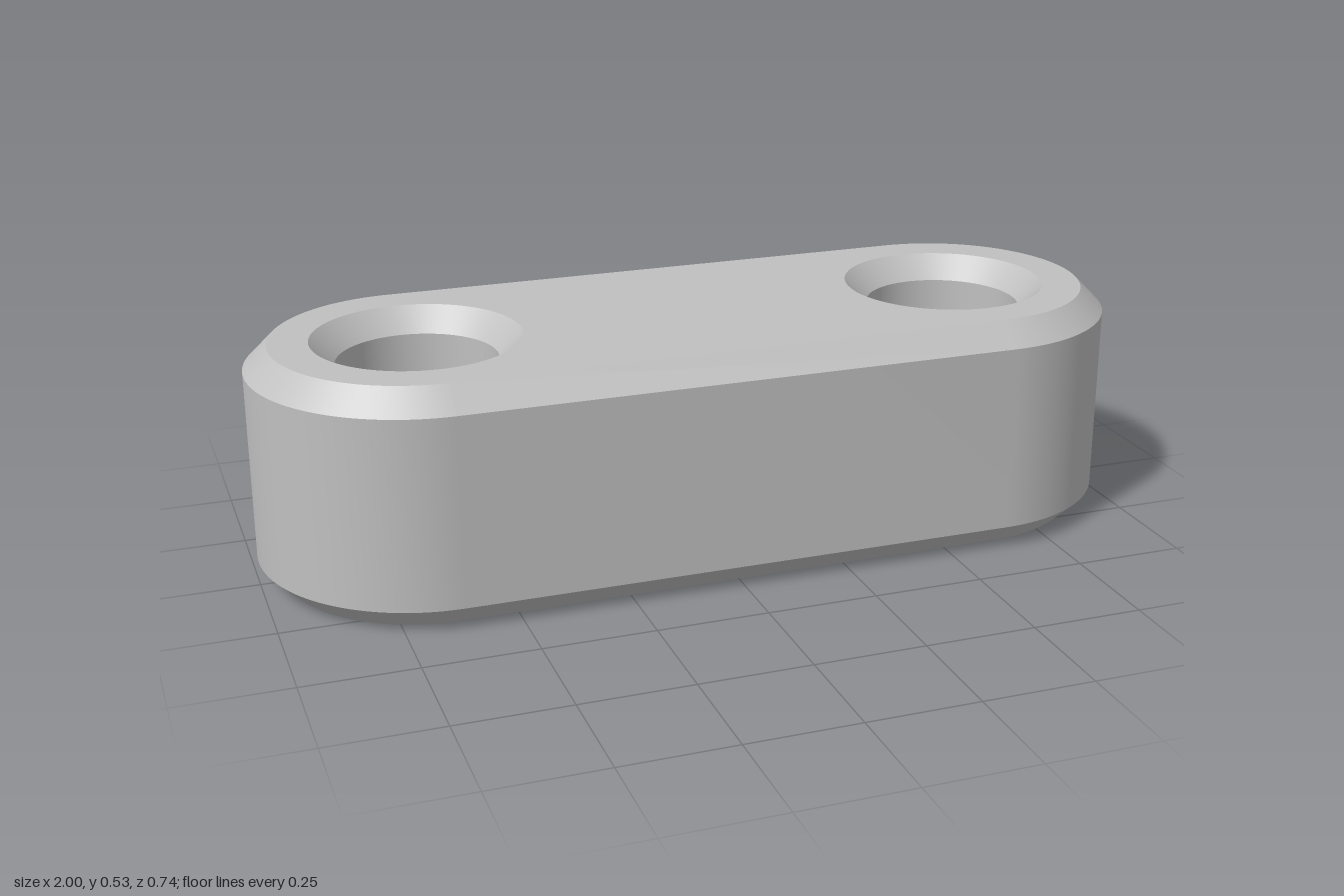
import * as THREE from 'three';
import { toCreasedNormals } from 'three/addons/utils/BufferGeometryUtils.js';

const HEIGHT = 0.533;
const CHAMFER = 0.053;
const END_RADIUS = 0.372;
const HOLE_RADIUS = 0.177;
const HOLE_X = 1 - END_RADIUS;

export function createModel() {
  const group = new THREE.Group();
  group.name = 'linkPlate';

  const greyMetal = new THREE.MeshStandardMaterial({ color: 0xc0c0c0 });
  greyMetal.name = 'grey metal';

  // Outline: a bar with fully rounded ends
  const outline = new THREE.Shape();
  outline.absarc(HOLE_X, 0, END_RADIUS, -Math.PI / 2, Math.PI / 2, false);
  outline.absarc(-HOLE_X, 0, END_RADIUS, Math.PI / 2, Math.PI * 1.5, false);

  // One through hole at the centre of each rounded end
  for (const side of [-1, 1]) {
    const hole = new THREE.Path();
    hole.absarc(side * HOLE_X, 0, HOLE_RADIUS, 0, Math.PI * 2, true);
    outline.holes.push(hole);
  }

  // The inset bevel chamfers the outer rims and countersinks the holes
  const extruded = new THREE.ExtrudeGeometry(outline, {
    depth: HEIGHT - 2 * CHAMFER,
    curveSegments: 40,
    bevelEnabled: true,
    bevelThickness: CHAMFER,
    bevelSize: CHAMFER,
    bevelOffset: -CHAMFER,
    bevelSegments: 1,
  });
  extruded.rotateX(-Math.PI / 2);
  extruded.translate(0, CHAMFER, 0);

  const plate = new THREE.Mesh(toCreasedNormals(extruded, Math.PI / 6), greyMetal);
  plate.name = 'chamferedPlate';
  group.add(plate);
  return group;
}
